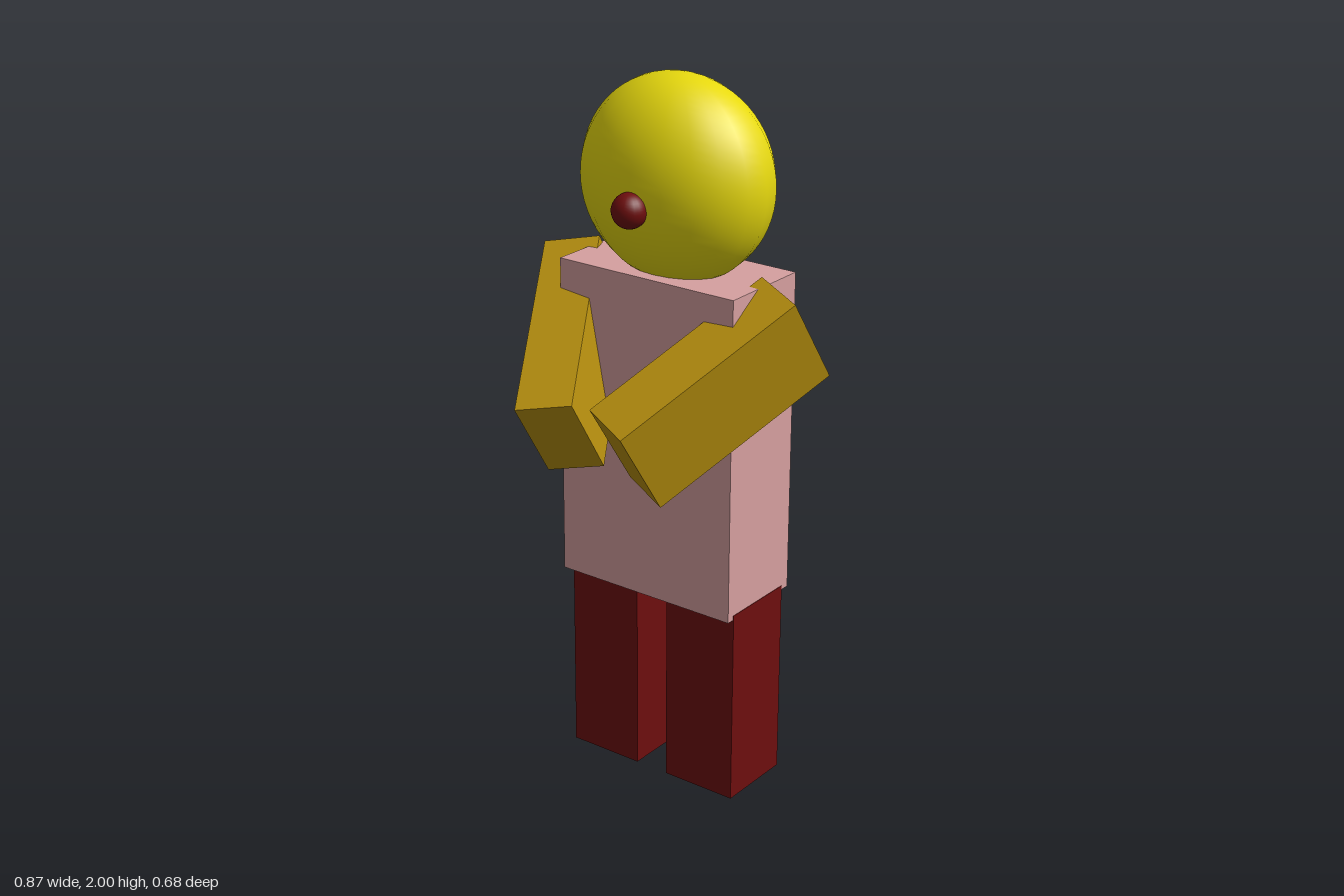
import * as THREE from 'three';

const material = (color) => new THREE.MeshStandardMaterial({ color });

function addPart(group, name, geometry, mat, x, y, z) {
  const mesh = new THREE.Mesh(geometry, mat);
  mesh.name = name;
  mesh.position.set(x, y, z);
  group.add(mesh);
  return mesh;
}

export function createModel() {
  const group = new THREE.Group();
  group.name = 'blockFigure';

  const yellow = material(0xe6d80e);
  const ochre = material(0xb8900f);
  const pink = material(0xd6a0a0);
  const darkRed = material(0x6e0e0e);

  // Head: an ellipsoid flattened front to back
  const head = addPart(group, 'head', new THREE.SphereGeometry(1, 20, 32), yellow, 0.003, 1.72, -0.142);
  head.scale.set(0.284, 0.28, 0.202);

  // Nose
  addPart(group, 'nose', new THREE.SphereGeometry(0.048, 20, 20), darkRed, 0.003, 1.68, 0.063);

  // Torso
  addPart(group, 'torso', new THREE.BoxGeometry(0.567, 0.92, 0.283), pink, 0.003, 1.02, -0.142);

  // Legs
  const legGeometry = new THREE.BoxGeometry(0.226, 0.573, 0.23);
  addPart(group, 'rightLeg', legGeometry, darkRed, -0.153, 0.2865, -0.139);
  addPart(group, 'leftLeg', legGeometry, darkRed, 0.175, 0.2865, -0.139);

  // Arms: tilted boxes reaching forward, down and inward
  const armGeometry = new THREE.BoxGeometry(0.158, 0.281, 0.566);
  const addArm = (name, center, across, up) => {
    const xAxis = new THREE.Vector3(...across).normalize();
    const zAxis = new THREE.Vector3().crossVectors(xAxis, new THREE.Vector3(...up)).normalize();
    const yAxis = new THREE.Vector3().crossVectors(zAxis, xAxis);
    const arm = addPart(group, name, armGeometry, ochre, ...center);
    arm.quaternion.setFromRotationMatrix(new THREE.Matrix4().makeBasis(xAxis, yAxis, zAxis));
  };
  addArm('leftArm', [0.236, 1.224, 0.021], [0.145, -0.03, 0.058], [-0.018, 0.238, 0.151]);
  addArm('rightArm', [-0.237, 1.22, -0.001], [0.144, 0.028, -0.06], [0.022, 0.23, 0.16]);

  return group;
}
